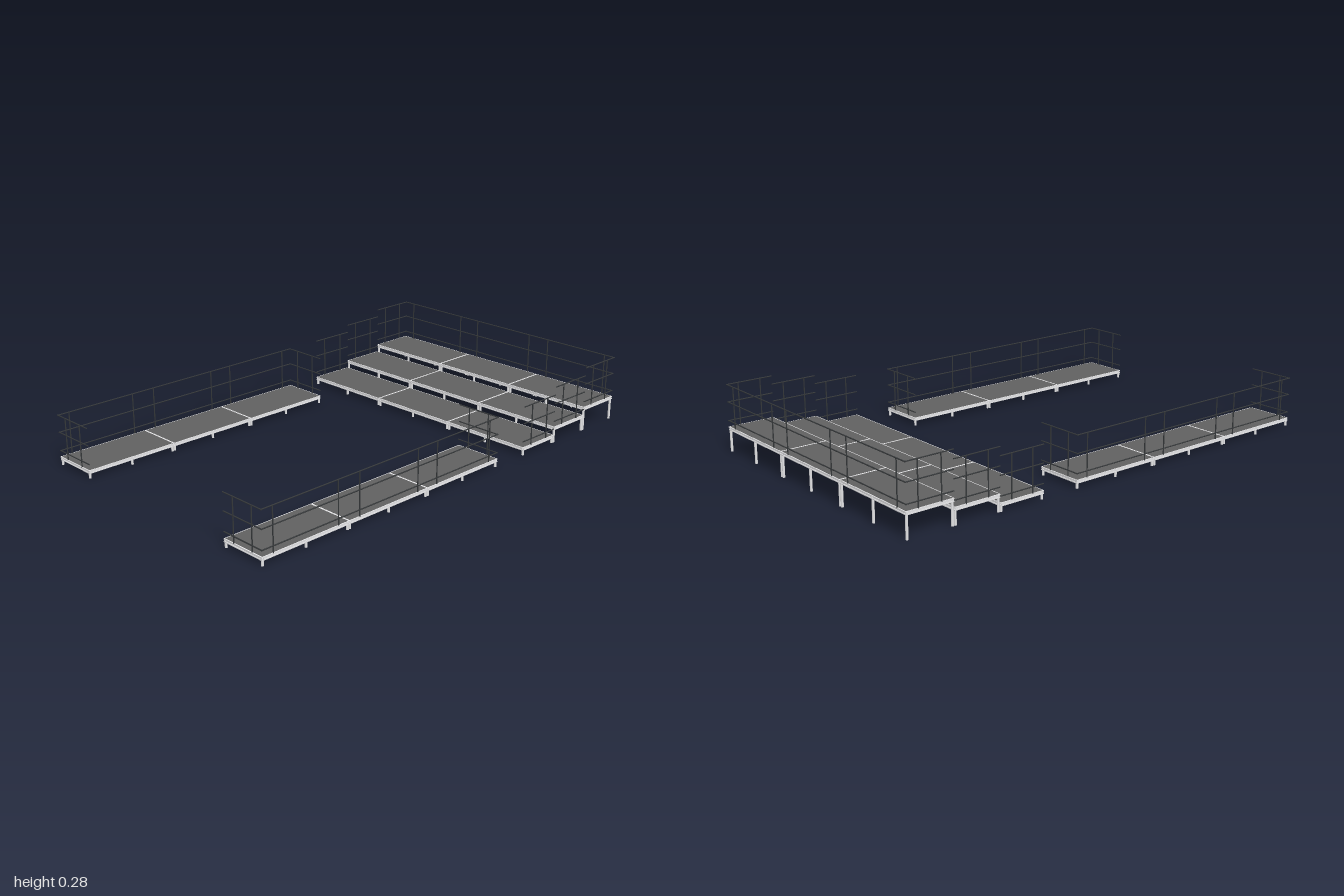
import * as THREE from 'three';

const L = 0.409, W = 0.203, FRAME_H = 0.014, LEG_R = 0.0052, RAIL_R = 0.0025;

const deckGrey = new THREE.MeshStandardMaterial({ color: 0x616161 });
deckGrey.name = 'deckGrey';
const aluminium = new THREE.MeshStandardMaterial({ color: 0xececee });
aluminium.name = 'aluminium';
const railBlack = new THREE.MeshStandardMaterial({ color: 0x36393b });
railBlack.name = 'railBlack';

function add(parent, name, geometry, material, x, y, z) {
  const mesh = new THREE.Mesh(geometry, material);
  mesh.name = name;
  mesh.position.set(x, y, z);
  parent.add(mesh);
  return mesh;
}

const box = (x, y, z) => new THREE.BoxGeometry(x, y, z);

// One beam along local x, with a channel open towards local +z
function beam(parent, length, x, y, z, turn) {
  const g = new THREE.Group();
  g.name = 'frameBeam';
  add(g, 'topFlange', box(length, 0.004, 0.006), aluminium, 0, 0.005, 0);
  add(g, 'web', box(length, 0.006, 0.003), aluminium, 0, 0, -0.0015);
  add(g, 'bottomFlange', box(length, 0.004, 0.006), aluminium, 0, -0.005, 0);
  g.position.set(x, y, z);
  g.rotation.y = turn;
  parent.add(g);
}

// Stage module: L long on x, W wide on z, deck top at the given height
function stageModule(top) {
  const g = new THREE.Group();
  g.name = 'stageModule';
  const l = L - 0.0004, w = W - 0.0004;
  add(g, 'deck', box(l - 0.008, 0.008, w - 0.008), deckGrey, 0, top - 0.0036, 0);
  const y = top - FRAME_H / 2;
  for (const s of [-1, 1]) {
    beam(g, l, 0, y, s * (w / 2 - 0.003), s > 0 ? 0 : Math.PI);
    beam(g, w - 0.012, s * (l / 2 - 0.003), y, 0, s * Math.PI / 2);
    // Legs at both corners and the middle of each long side
    for (const k of [-1, 0, 1]) {
      const h = top - 0.006;
      add(g, 'leg', new THREE.CylinderGeometry(LEG_R, LEG_R, h, 12), aluminium,
        k * (l / 2 - 0.0058), h / 2, s * (w / 2 - 0.0058));
    }
  }
  return g;
}

// Guard rail along local x: three rails and two posts per section
function guardRail(length, sections, top) {
  const g = new THREE.Group();
  g.name = 'guardRail';
  for (const h of [0.025, 0.103, 0.175]) {
    const rail = add(g, 'rail', new THREE.CylinderGeometry(RAIL_R, RAIL_R, length, 8),
      railBlack, 0, top + h, 0);
    rail.rotation.z = Math.PI / 2;
  }
  const step = length / sections;
  for (let i = 0; i < sections; i++) {
    const mid = -length / 2 + step * (i + 0.5);
    for (const s of [-1, 1]) {
      add(g, 'post', new THREE.CylinderGeometry(RAIL_R, RAIL_R, 0.178, 8), railBlack,
        mid + s * (step / 2 - 0.0525), top + 0.086, 0);
    }
  }
  return g;
}

function place(parent, part, x, z, turned) {
  part.position.set(x, 0, z);
  if (turned) part.rotation.y = Math.PI / 2;
  parent.add(part);
}

export function createModel() {
  const model = new THREE.Group();
  model.name = 'stage';
  const edge = 1.5 * L - 0.0025;

  // Stepped platform at the back
  const risers = new THREE.Group();
  risers.name = 'steppedPlatform';
  model.add(risers);
  for (let row = 0; row < 3; row++) {
    const top = 0.0345 * (row + 1), z = -0.999 + W * (2.5 - row);
    for (const k of [-1, 0, 1]) place(risers, stageModule(top), k * L, z, false);
    for (const s of [-1, 1]) place(risers, guardRail(W, 1, top), s * edge, z, true);
  }
  place(risers, guardRail(3 * L, 3, 0.1035), 0, -0.9965, false);

  // Walkways on both sides, railed on the outside and at both ends
  const low = 0.0345, front = 0.999, midZ = front - 1.5 * L;
  for (const s of [-1, 1]) {
    const walkway = new THREE.Group();
    walkway.name = s > 0 ? 'leftWalkway' : 'rightWalkway';
    model.add(walkway);
    const x = s * (1.5 * L - W / 2);
    for (const k of [-1, 0, 1]) place(walkway, stageModule(low), x, midZ + k * L, true);
    place(walkway, guardRail(3 * L, 3, low), s * edge, midZ, true);
    for (const e of [-1, 1]) {
      place(walkway, guardRail(W, 1, low), x, midZ + e * edge, false);
    }
  }
  return model;
}
